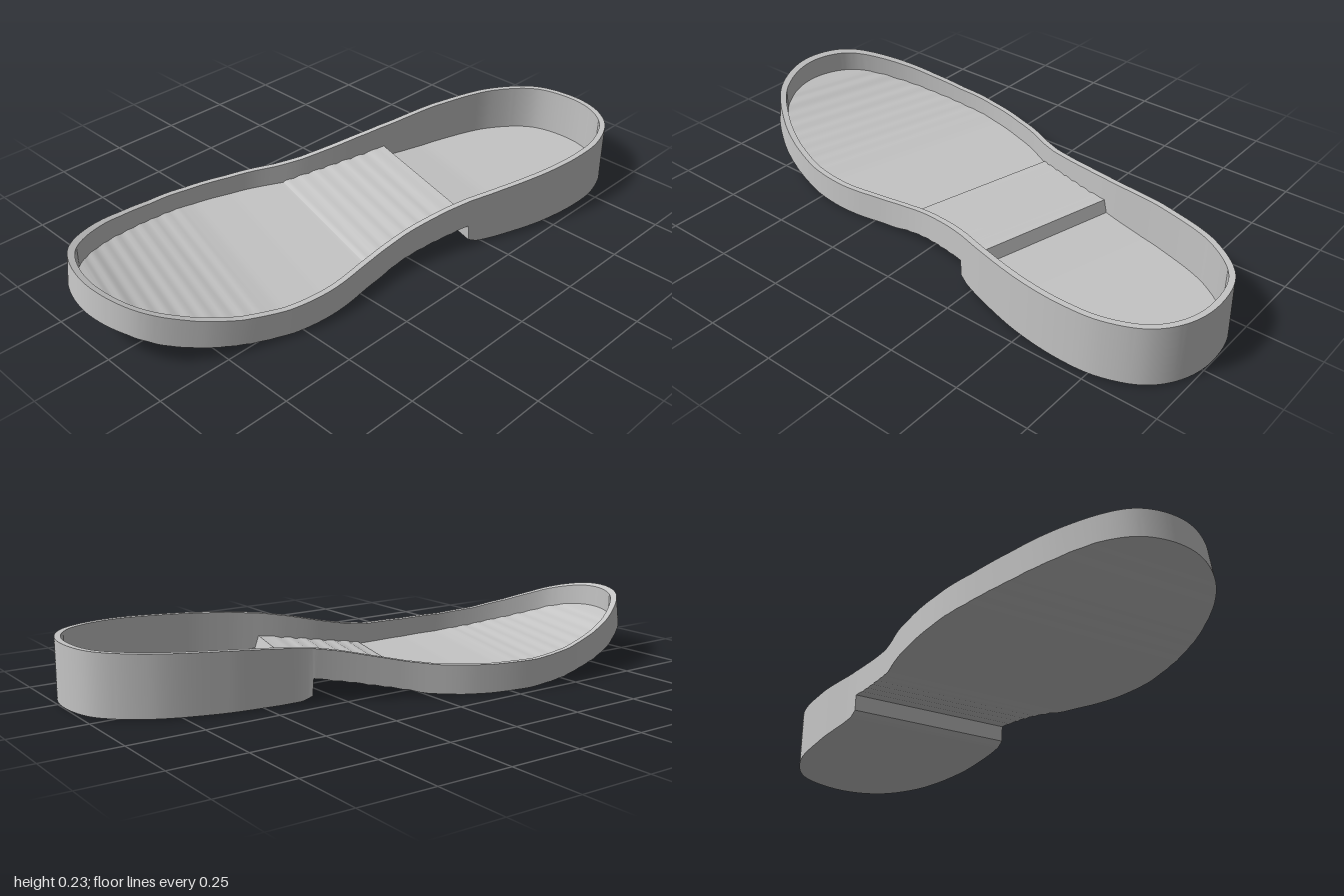
import * as THREE from 'three';
import { toCreasedNormals } from 'three/addons/utils/BufferGeometryUtils.js';

const SLANT = 0.27; // crease lines run across the sole along t = z - SLANT * x
const ROWS = 170;

// sole outline seen from above: [x, z]
const OUTLINE = [
  [0.2, -1], [0.32, -0.975], [0.41, -0.905], [0.465, -0.78], [0.475, -0.65], [0.455, -0.48],
  [0.41, -0.31], [0.342, -0.11], [0.304, 0.04], [0.298, 0.18], [0.314, 0.35], [0.309, 0.48],
  [0.274, 0.63], [0.2, 0.805], [0.08, 0.95], [-0.09, 1], [-0.272, 0.942], [-0.4, 0.77],
  [-0.463, 0.55], [-0.475, 0.36], [-0.418, 0.135], [-0.308, -0.085], [-0.204, -0.345],
  [-0.148, -0.615], [-0.07, -0.835], [0.05, -0.968],
];

// height profiles along t: [t, y]
const RIM = [[-1.1, 0.206], [-0.8, 0.201], [-0.55, 0.193], [-0.42, 0.186], [-0.3, 0.177], [-0.2, 0.161],
  [-0.08, 0.136], [0.02, 0.116], [0.12, 0.102], [0.3, 0.094], [0.47, 0.096], [0.62, 0.112],
  [0.75, 0.14], [0.85, 0.169], [0.93, 0.196], [1.01, 0.224]];
const UNDER = [[-1.1, 0.003], [-0.6, 0.002], [-0.4, 0.006], [-0.33, 0.01], [-0.296, 0.024], [-0.292, 0.08],
  [-0.15, 0.056], [0, 0.028], [0.09, 0.009], [0.2, 0.002], [0.3, 0], [0.45, 0.004], [0.6, 0.02],
  [0.75, 0.047], [0.85, 0.072], [0.95, 0.108], [1.03, 0.128]];
const FLOOR = [[-1.1, 0.036], [-0.5, 0.04], [-0.326, 0.052], [-0.312, 0.096], [-0.15, 0.076], [0, 0.053],
  [0.086, 0.038], [0.094, 0.031], [0.3, 0.026], [0.45, 0.03], [0.6, 0.046], [0.75, 0.073], [0.85, 0.098],
  [0.95, 0.133], [1.03, 0.154]];
const BREAKS = [-0.326, -0.312, -0.296, -0.292, 0.086, 0.094];

function height(profile, t) {
  let i = 1;
  while (i < profile.length - 1 && profile[i][0] < t) i++;
  const [a, b] = [profile[i - 1], profile[i]];
  return THREE.MathUtils.mapLinear(t, a[0], b[0], a[1], b[1]);
}

// flexing ripples across the arch and the toe
function ripple(t) {
  if (t > -0.27 && t < 0.07) return 0.003 * Math.sin((t + 0.27) * Math.PI * 2 / 0.0567);
  if (t > 0.5 && t < 0.94) return 0.0015 * Math.sin((t - 0.5) * Math.PI * 2 / 0.055);
  return 0;
}
const rimY = (t) => height(RIM, t);
const underY = (t) => height(UNDER, t) + 0.5 * ripple(t);
const floorY = (t) => height(FLOOR, t) + ripple(t);

// outline moved inward by inset, and further by toeLean towards the toe, in (x, t)
function contour(inset, toeLean) {
  const curve = new THREE.CatmullRomCurve3(OUTLINE.map(([x, z]) => new THREE.Vector3(x, 0, z)), true);
  const pts = curve.getSpacedPoints(600).slice(0, -1);
  return pts.map((p, i) => {
    const a = pts[(i + 599) % 600], b = pts[(i + 1) % 600];
    const d = b.clone().sub(a).normalize();
    const move = inset + toeLean * THREE.MathUtils.smoothstep(p.z, 0.5, 1);
    const x = p.x - d.z * move, z = p.z + d.x * move;
    return [x, z - SLANT * x];
  });
}

// slanted rows, each with the left and right end of its chord
function makeRows(inset, toeLean) {
  const pts = contour(inset, toeLean);
  const lo = Math.min(...pts.map((p) => p[1])) + 1e-5;
  const hi = Math.max(...pts.map((p) => p[1])) - 1e-5;
  const ts = [...BREAKS];
  for (let i = 0; i <= ROWS; i++) ts.push(lo + (hi - lo) * (1 - Math.cos(Math.PI * i / ROWS)) / 2);
  ts.sort((a, b) => a - b);
  return ts.map((t) => {
    const xs = [];
    pts.forEach((a, i) => {
      const b = pts[(i + 1) % pts.length];
      if ((a[1] < t) !== (b[1] < t)) xs.push(a[0] + (b[0] - a[0]) * (t - a[1]) / (b[1] - a[1]));
    });
    return { t, left: Math.min(...xs), right: Math.max(...xs) };
  });
}

const side = (rows, key, yOf) => rows.map((r) => [r[key], yOf(r.t), r.t + SLANT * r[key]]);

// closed loop around the sole, counter-clockwise from above
const loop = (rows, yOf) => [...side(rows, 'left', yOf), ...side(rows, 'right', yOf).reverse()];

// skin between two matching lines of points
function skin(a, b, closed) {
  const n = a.length, index = [];
  for (let i = 0; i < (closed ? n : n - 1); i++) {
    const j = (i + 1) % n;
    index.push(i, j, n + j, i, n + j, n + i);
  }
  const g = new THREE.BufferGeometry();
  g.setAttribute('position', new THREE.Float32BufferAttribute([...a, ...b].flat(), 3));
  g.setIndex(index);
  return toCreasedNormals(g, 0.6);
}

export function createModel() {
  const group = new THREE.Group();
  group.name = 'shoeSole';
  const rubber = new THREE.MeshStandardMaterial({ color: 0xc4c4c4 });
  rubber.name = 'greyRubber';

  const base = makeRows(0, 0);
  const rim = makeRows(0.002, 0.009);
  const inner = makeRows(0.022, 0.011);

  const add = (name, geometry) => {
    const mesh = new THREE.Mesh(geometry, rubber);
    mesh.name = name;
    group.add(mesh);
  };
  add('outerWall', skin(loop(base, underY), loop(rim, rimY), true));
  add('rimTop', skin(loop(rim, rimY), loop(inner, rimY), true));
  add('innerWall', skin(loop(inner, rimY), loop(inner, floorY), true));
  add('insoleFloor', skin(side(inner, 'left', floorY), side(inner, 'right', floorY), false));
  add('underside', skin(side(base, 'right', underY), side(base, 'left', underY), false));
  return group;
}
